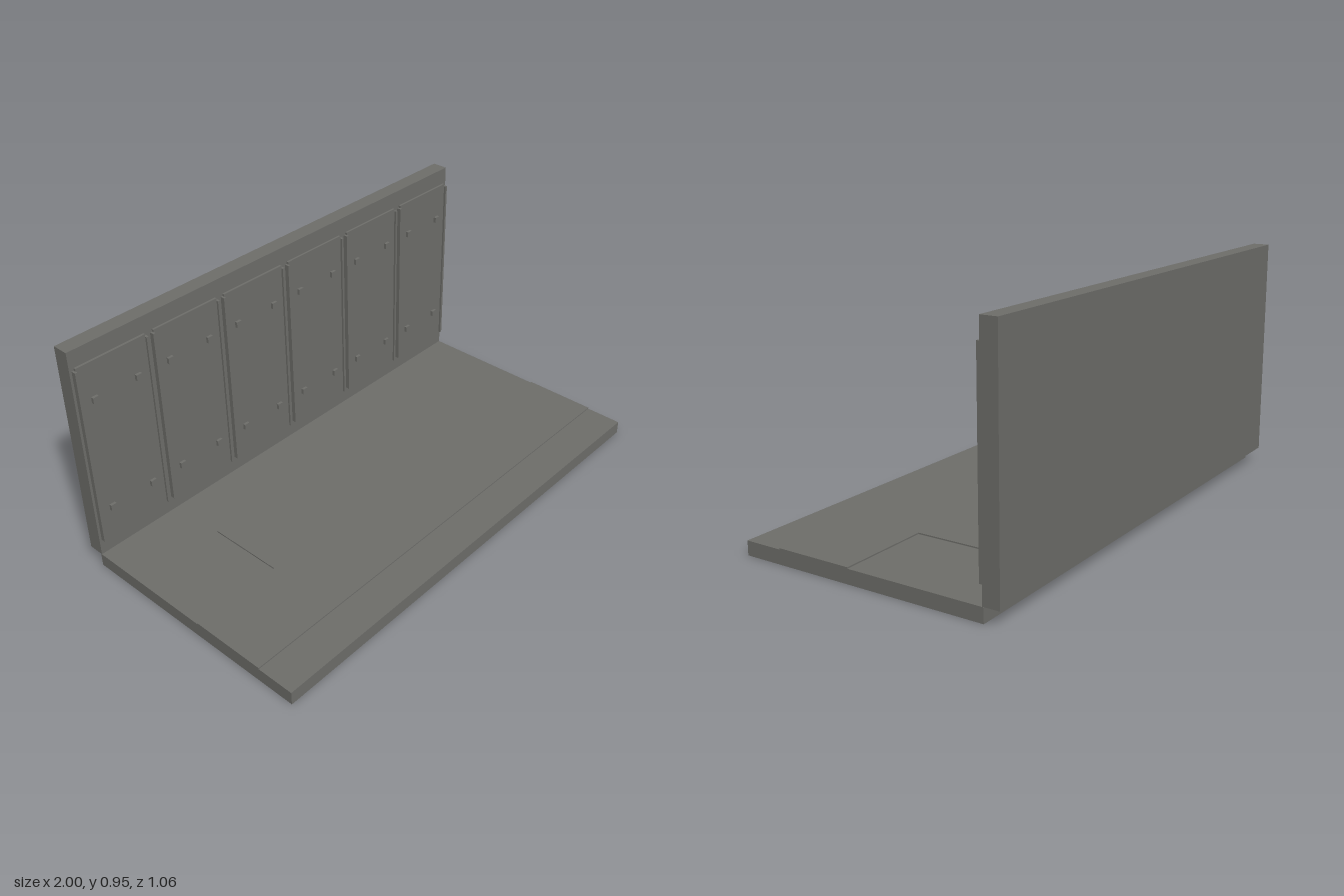
import * as THREE from 'three';

export function createModel() {
  const group = new THREE.Group();
  const concrete = new THREE.MeshStandardMaterial({ color: 0x6e6e6a });
  concrete.name = 'concrete grey';

  // Box given by its min and max corners
  function box(name, x0, x1, y0, y1, z0, z1, parent = group) {
    const mesh = new THREE.Mesh(new THREE.BoxGeometry(x1 - x0, y1 - y0, z1 - z0), concrete);
    mesh.name = name;
    mesh.position.set((x0 + x1) / 2, (y0 + y1) / 2, (z0 + z1) / 2);
    parent.add(mesh);
    return mesh;
  }

  // Floor slab and back wall
  box('floor', -1, 1, 0, 0.055, -0.469, 0.531);
  box('wall', -1, 1, 0.056, 0.946, -0.529, -0.464);

  // Thin raised walkway: full-width strip with a narrower area behind it
  box('walkway', -1, 1, 0.055, 0.06, 0.073, 0.378);
  box('walkwayLanding', -0.63, 0.63, 0.055, 0.06, -0.234, 0.073);

  // Six wall panels with side rails and four square bolts each
  for (let i = 0; i < 6; i++) {
    const panel = new THREE.Group();
    panel.name = 'wallPanel' + (i + 1);
    panel.position.x = (i - 2.5) / 3;
    group.add(panel);
    box('panelPlate', -0.148, 0.148, 0.114, 0.878, -0.464, -0.4545, panel);
    for (const s of [-1, 1]) {
      box('panelRail', s * 0.152 - 0.005, s * 0.152 + 0.005, 0.122, 0.868, -0.464, -0.446, panel);
      for (const y of [0.252, 0.73]) {
        box('panelBolt', s * 0.094 - 0.012, s * 0.094 + 0.012, y - 0.012, y + 0.012, -0.4545, -0.443, panel);
      }
    }
  }
  return group;
}
